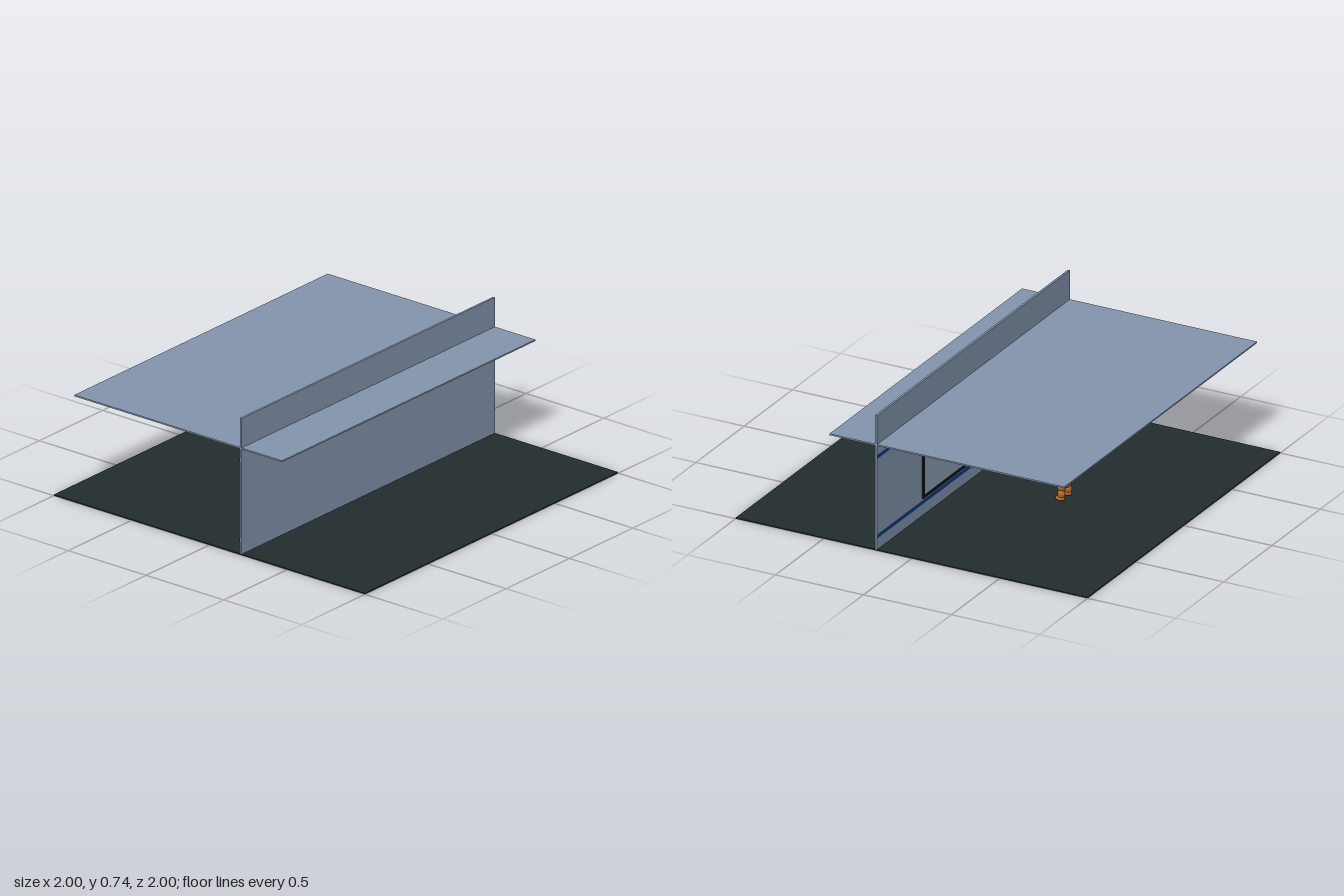
import * as THREE from 'three';

const mat = (name, color, side = THREE.FrontSide) => {
  const m = new THREE.MeshStandardMaterial({ color, side });
  m.name = name;
  return m;
};

export function createModel() {
  const M = {
    floor: mat('dark rubber', 0x222d2d),
    wall: mat('blue grey paint', 0x8395ae),
    blue: mat('royal blue', 0x0f3f96),
    black: mat('black', 0x141a1e),
    mirror: mat('mirror glass', 0x8fa2b8),
    light: mat('lamp panel', 0xb4afa8),
    steel: mat('steel', 0x77746e),
    skin: mat('orange skin', 0xb8692f),
    belt: mat('dark trunks', 0x23282b),
  };
  const model = new THREE.Group();
  const add = (parent, name, geo, material, x = 0, y = 0, z = 0) => {
    const mesh = new THREE.Mesh(geo, material);
    mesh.name = name;
    mesh.position.set(x, y, z);
    parent.add(mesh);
    return mesh;
  };
  const box = (parent, name, w, h, d, m, x, y, z) =>
    add(parent, name, new THREE.BoxGeometry(w, h, d), m, x, y, z);
  const ball = (parent, name, m, x, y, z, rx, ry = rx, rz = rx) =>
    add(parent, name, new THREE.SphereGeometry(1, 14, 10), m, x, y, z).scale.set(rx, ry, rz);
  // Tapered rod between two points
  const rod = (parent, name, m, a, b, r1, r2 = r1) => {
    const A = new THREE.Vector3(...a), B = new THREE.Vector3(...b);
    const dir = B.clone().sub(A);
    const mesh = add(parent, name, new THREE.CylinderGeometry(r2, r1, dir.length(), 12), m);
    mesh.position.copy(A).add(B).multiplyScalar(0.5);
    mesh.quaternion.setFromUnitVectors(new THREE.Vector3(0, 1, 0), dir.normalize());
  };

  // Room shell
  box(model, 'floor', 2, 0.006, 2, M.floor, 0, 0.003, 0);
  box(model, 'wall', 2, 0.734, 0.012, M.wall, 0, 0.373, 0.202);
  box(model, 'ceiling', 2, 0.008, 1.335, M.wall, 0, 0.577, -0.2);

  // Stripes along the inner face of the wall
  for (const y of [0.077, 0.512]) box(model, 'wallStripe', 2, 0.016, 0.003, M.blue, 0, y, 0.1945);

  // Mirror with frame
  const mirror = new THREE.Group();
  mirror.name = 'mirror';
  model.add(mirror);
  box(mirror, 'mirrorGlass', 1.06, 0.37, 0.004, M.mirror, 0, 0.29, 0.194);
  for (const s of [-1, 1]) {
    box(mirror, 'mirrorFrameRail', 1.07, 0.014, 0.01, M.black, 0, 0.29 + s * 0.183, 0.191);
    box(mirror, 'mirrorFrameSide', 0.014, 0.38, 0.01, M.black, s * 0.528, 0.29, 0.191);
  }

  // Ceiling lamps, four rows of seven
  for (const z of [0.1, -0.1, -0.3, -0.5])
    for (let i = -3; i <= 3; i++) box(model, 'ceilingLamp', 0.2, 0.006, 0.03, M.light, i * 0.25, 0.571, z);

  // Barbell rack: uprights, low stands and loaded bar
  const rack = new THREE.Group();
  rack.name = 'barbellRack';
  rack.position.x = -0.17;
  model.add(rack);
  for (const s of [-1, 1]) {
    for (const z of [0, -0.06]) box(rack, 'upright', 0.007, 0.27, 0.006, M.steel, s * 0.075, 0.138, z);
    box(rack, 'lowStand', 0.006, 0.062, 0.004, M.steel, s * 0.075, 0.037, 0.11);
    for (const x of [0.11, 0.125]) {
      const plate = add(rack, 'barbellPlate', new THREE.CylinderGeometry(0.036, 0.036, 0.012, 24), M.floor, s * x, 0.165, -0.06);
      plate.rotation.z = Math.PI / 2;
    }
  }
  rod(rack, 'barbell', M.steel, [-0.15, 0.165, -0.06], [0.15, 0.165, -0.06], 0.004);

  // Muscular figure
  const figure = new THREE.Group();
  figure.name = 'figure';
  figure.position.z = -0.32;
  model.add(figure);
  for (const s of [-1, 1]) {
    ball(figure, 'foot', M.skin, s * 0.037, 0.017, 0.004, 0.018, 0.012, 0.026);
    ball(figure, 'calf', M.skin, s * 0.036, 0.042, -0.002, 0.018, 0.026, 0.02);
    ball(figure, 'thigh', M.skin, s * 0.028, 0.08, 0, 0.024, 0.03, 0.024);
    ball(figure, 'chest', M.skin, s * 0.022, 0.172, 0.006, 0.032, 0.026, 0.028);
    ball(figure, 'shoulder', M.skin, s * 0.06, 0.183, -0.008, 0.025);
  }
  ball(figure, 'trunks', M.belt, 0, 0.108, 0, 0.044, 0.018, 0.027);
  ball(figure, 'waist', M.skin, 0, 0.138, 0, 0.038, 0.032, 0.025);
  ball(figure, 'back', M.skin, 0, 0.168, -0.014, 0.052, 0.034, 0.026);
  rod(figure, 'neck', M.skin, [0, 0.185, 0], [0, 0.212, 0], 0.016);
  ball(figure, 'head', M.skin, 0, 0.222, 0.002, 0.02, 0.025, 0.022);

  // Arms as shoulder, elbow and hand points
  const arms = [
    [[0.065, 0.18, -0.01], [0.1, 0.158, -0.03], [0.107, 0.242, 0.012]],
    [[-0.065, 0.18, -0.01], [-0.098, 0.148, -0.018], [-0.055, 0.118, 0.018]],
  ];
  for (const [shoulder, elbow, hand] of arms) {
    rod(figure, 'upperArm', M.skin, shoulder, elbow, 0.022, 0.018);
    ball(figure, 'elbow', M.skin, ...elbow, 0.019);
    rod(figure, 'forearm', M.skin, elbow, hand, 0.018, 0.012);
    ball(figure, 'hand', M.skin, ...hand, 0.016);
  }

  // Dumbbell held in the raised hand
  const dumbbell = new THREE.Group();
  dumbbell.name = 'dumbbell';
  dumbbell.position.set(0.107, 0.241, 0.011);
  dumbbell.rotation.x = Math.PI / 2 - 0.26;
  figure.add(dumbbell);
  add(dumbbell, 'dumbbellHandle', new THREE.CylinderGeometry(0.006, 0.006, 0.17, 12), M.steel);
  for (const s of [-1, 1])
    [0.052, 0.052, 0.046].forEach((r, i) =>
      add(dumbbell, 'dumbbellPlate', new THREE.CylinderGeometry(r, r, 0.0125, 24), M.blue, 0, s * (0.045 + i * 0.0145), 0));

  return model;
}
